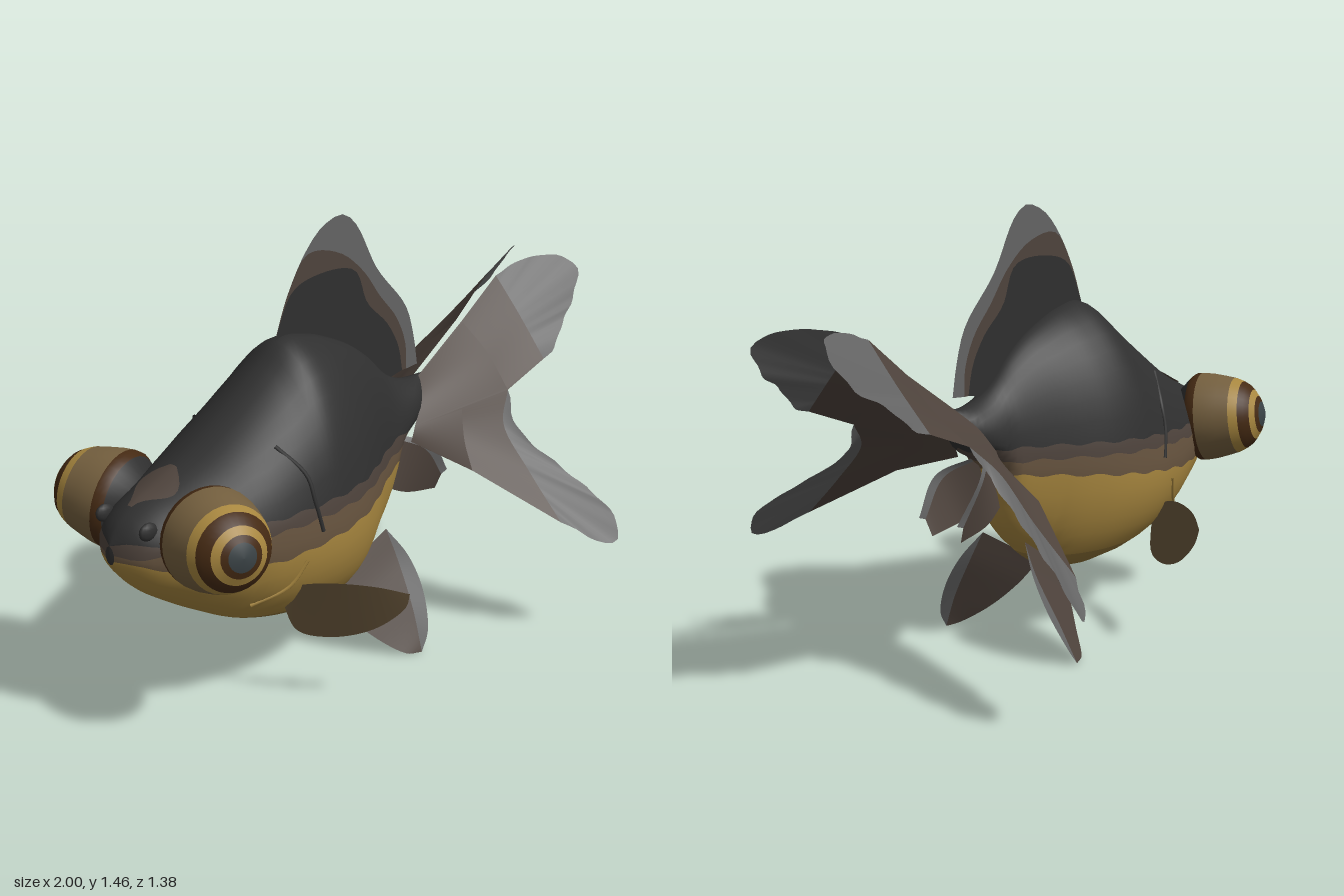
import * as THREE from 'three';

const mat = (name, color, both) => {
  const m = new THREE.MeshStandardMaterial({ color });
  m.name = name;
  if (both) m.side = THREE.DoubleSide;
  return m;
};
const V = (a) => new THREE.Vector3(...a);

// body stations: x, top, bottom, height of widest line, half width
const stations = [
  [-1.0, 0.65, 0.59, 0.62, 0.02], [-0.975, 0.7, 0.555, 0.62, 0.08], [-0.92, 0.745, 0.49, 0.62, 0.135],
  [-0.83, 0.785, 0.42, 0.61, 0.185], [-0.71, 0.845, 0.345, 0.6, 0.235], [-0.6, 0.915, 0.285, 0.59, 0.27],
  [-0.5, 0.985, 0.25, 0.58, 0.287], [-0.4, 1.06, 0.23, 0.57, 0.294], [-0.32, 1.12, 0.222, 0.57, 0.292],
  [-0.2, 1.11, 0.22, 0.58, 0.267], [-0.1, 1.075, 0.245, 0.59, 0.222], [0.0, 1.025, 0.315, 0.62, 0.165],
  [0.08, 0.965, 0.385, 0.65, 0.125], [0.13, 0.915, 0.47, 0.68, 0.107], [0.16, 0.89, 0.6, 0.71, 0.1],
  [0.22, 0.86, 0.665, 0.745, 0.088], [0.28, 0.848, 0.7, 0.77, 0.068], [0.345, 0.85, 0.77, 0.81, 0.015],
];
const lookup = [1, 2, 3, 4].map((k) =>
  new THREE.CubicInterpolant(stations.map((s) => s[0]), stations.map((s) => s[k]), 1));
const section = (x) => lookup.map((f) => f.evaluate(x)[0]);

// point on the body skin; angle runs from -90 (belly) to 90 degrees (back)
function skin(x, angle, side = 1, lift = 0) {
  const [top, bottom, mid, width] = section(x);
  const s = Math.sin(angle), c = Math.max(0, Math.cos(angle));
  const h = s > 0 ? top - mid : mid - bottom;
  return [x, mid + (h + lift) * s, side * (width + lift) * (s > 0 ? Math.pow(c, 1.2) : c)];
}
function angleAt(x, y) {
  const [top, bottom, mid] = section(x);
  const h = y > mid ? top - mid : mid - bottom;
  return Math.asin(THREE.MathUtils.clamp((y - mid) / h, -1, 1));
}

// grid of points (rows of equal length) to geometry
function gridGeometry(rows) {
  const n = rows[0].length, index = [];
  for (let i = 0; i < rows.length - 1; i++)
    for (let j = 0; j < n - 1; j++) {
      const a = i * n + j, b = a + n;
      index.push(a, b, b + 1, a, b + 1, a + 1);
    }
  const g = new THREE.BufferGeometry();
  g.setAttribute('position', new THREE.Float32BufferAttribute(rows.flat(2), 3));
  g.setIndex(index);
  g.computeVertexNormals();
  return g;
}

// closed body with colour bands at given heights
function bodyGeometry() {
  const rings = 64, steps = [4, 6, 2, 2, 9], positions = [], index = [];
  const g = new THREE.BufferGeometry();
  const half = steps.reduce((a, b) => a + b), n = half * 2;
  for (let i = 0; i <= rings; i++) {
    const x = -1 + 1.345 * i / rings;
    const wob = 0.005 * Math.sin(i * 1.1);
    const goldTop = Math.max(0.545, 0.6 + 0.1 * x, 0.545 - 0.2 * (x + 0.7));
    const limits = [-Math.PI / 2, angleAt(x, 0.3), angleAt(x, goldTop + wob),
      angleAt(x, 0.655 + 0.03 * x - wob), angleAt(x, 0.7 + 0.04 * x + wob), Math.PI / 2];
    const angles = [];
    steps.forEach((k, b) => {
      for (let j = 0; j < k; j++) angles.push(THREE.MathUtils.lerp(limits[b], limits[b + 1], j / k));
    });
    angles.push(Math.PI / 2);
    for (let j = 0; j < n; j++)
      positions.push(...(j <= half ? skin(x, angles[j]) : skin(x, angles[n - j], -1)));
  }
  let start = 0;
  steps.forEach((k, b) => {
    const from = index.length;
    for (let j = start; j < start + k; j++)
      for (const col of [j, n - 1 - j])
        for (let i = 0; i < rings; i++) {
          const a = i * n + col, d = i * n + (col + 1) % n;
          index.push(a, a + n, d + n, a, d + n, d);
        }
    g.addGroup(from, index.length - from, b);
    start += k;
  });
  // caps at nose and tail stalk
  const from = index.length, last = rings * n;
  for (let j = 1; j < n - 1; j++) index.push(0, j, j + 1, last, last + j + 1, last + j);
  g.addGroup(from, index.length - from, 4);
  g.setAttribute('position', new THREE.Float32BufferAttribute(positions, 3));
  g.setIndex(index);
  g.computeVertexNormals();
  return g;
}

// fin: strips between successive rails, one material per strip
function fin(name, rails, mats, side = 1, ripple = 0) {
  const group = new THREE.Group();
  group.name = name;
  const count = 32;
  const lines = rails.map((r, k) => {
    const curve = new THREE.CatmullRomCurve3(r.map(V));
    return curve.getSpacedPoints(count).map((p, i) => {
      const w = k === rails.length - 1 && i > 0 && i < count ? ripple * Math.sin(i * 1.3) : 0;
      return [p.x + w, p.y, p.z * side];
    });
  });
  mats.forEach((m, k) => {
    const mesh = new THREE.Mesh(gridGeometry([lines[k], lines[k + 1]]), m);
    mesh.name = name + 'Strip';
    group.add(mesh);
  });
  return group;
}

export function createModel() {
  const model = new THREE.Group();
  model.name = 'goldfish';
  const dark = mat('charcoal', 0x2f2f2f, true);
  const grey = mat('fin grey', 0x636363, true);
  const brown = mat('fin brown', 0x4e433c, true);
  const gold = mat('flank gold', 0xa8873f);
  const deepGold = mat('belly gold', 0x917539);
  const olive = mat('flank olive', 0x67543f);
  const tan = mat('eye tan', 0x75603f);
  const ring = mat('eye brown', 0x452a13);
  const pupil = mat('pupil grey', 0x3a4245);
  const paddle = mat('pectoral olive', 0x66543a, true);
  const add = (name, geometry, m, parent = model) => {
    const mesh = new THREE.Mesh(geometry, m);
    mesh.name = name;
    parent.add(mesh);
    return mesh;
  };

  add('body', bodyGeometry(), [deepGold, gold, olive, brown, dark]);

  // brown patch on the forehead
  const patch = [];
  for (let i = 0; i <= 10; i++) {
    const x = -0.92 + 0.17 * i / 10, row = [];
    const spread = 0.1 + 0.38 * Math.sin(Math.PI * Math.pow(i / 10, 1.4));
    for (let j = 0; j <= 8; j++) {
      const t = (j / 4 - 1) * spread;
      row.push(skin(x, Math.PI / 2 - Math.abs(t), t < 0 ? 1 : -1, 0.006));
    }
    patch.push(row);
  }
  add('foreheadPatch', gridGeometry(patch), brown);

  // dorsal fin
  model.add(fin('dorsalFin', [
    [[-0.33, 1.1, 0], [-0.2, 1.09, 0], [-0.05, 1.03, 0], [0.08, 0.94, 0], [0.16, 0.87, 0], [0.25, 0.88, 0]],
    [[-0.33, 1.12, 0], [-0.26, 1.25, 0], [-0.17, 1.285, 0], [0.02, 1.27, 0], [0.08, 1.15, 0], [0.175, 1.06, 0], [0.23, 0.97, 0], [0.25, 0.88, 0]],
    [[-0.33, 1.12, 0], [-0.27, 1.26, 0], [-0.19, 1.36, 0], [-0.05, 1.34, 0], [0.06, 1.26, 0], [0.14, 1.16, 0], [0.22, 1.07, 0], [0.265, 0.97, 0], [0.27, 0.88, 0]],
    [[-0.33, 1.12, 0], [-0.285, 1.23, 0], [-0.205, 1.36, 0], [-0.125, 1.435, 0], [-0.035, 1.46, 0], [0.025, 1.42, 0],
      [0.125, 1.255, 0], [0.265, 1.1, 0], [0.305, 0.99, 0], [0.325, 0.885, 0]],
  ], [dark, brown, grey]));

  // eye profile bands: [radius, distance] from socket to pupil
  const eyeBands = [
    [dark, [[0, -0.12], [0.1, -0.06], [0.145, -0.01]]],
    [ring, [[0.145, -0.01], [0.155, 0.005], [0.156, 0.025]]],
    [tan, [[0.156, 0.025], [0.152, 0.06], [0.143, 0.1], [0.132, 0.142]]],
    [gold, [[0.132, 0.142], [0.125, 0.158], [0.118, 0.172]]],
    [ring, [[0.118, 0.172], [0.106, 0.19], [0.087, 0.206]]],
    [gold, [[0.087, 0.206], [0.064, 0.221]]],
    [ring, [[0.064, 0.221], [0.044, 0.23]]],
    [pupil, [[0.044, 0.23], [0.022, 0.238], [0, 0.24]]],
  ];

  for (const side of [1, -1]) {
    const label = side > 0 ? 'left' : 'right';

    // bulging eye
    const eye = new THREE.Group();
    eye.name = label + 'Eye';
    eye.position.set(-0.785, 0.668, side * 0.19);
    eye.quaternion.setFromUnitVectors(V([0, 1, 0]), V([-0.07, 0.03, side * 0.23]).normalize());
    eyeBands.forEach(([m, pts]) =>
      add('eyeBand', new THREE.LatheGeometry(pts.map((p) => new THREE.Vector2(...p)), 32), m, eye));
    model.add(eye);

    // nostril flap
    const nostril = add(label + 'Nostril', new THREE.SphereGeometry(0.025, 12, 8), dark);
    nostril.position.set(-0.935, 0.705, side * 0.1);
    nostril.scale.set(1.3, 1.1, 0.6);

    // gill cover: dark upper edge, golden lower edge
    const edge = (name, pts, m) => add(label + name, new THREE.TubeGeometry(new THREE.CatmullRomCurve3(
      pts.map(([x, y]) => V(skin(x, angleAt(x, y), side)))), 16, 0.007, 6), m);
    edge('GillEdge', [[-0.51, 0.87], [-0.45, 0.78], [-0.44, 0.7], [-0.42, 0.6]], dark);
    edge('LowerGillEdge', [[-0.48, 0.52], [-0.53, 0.44], [-0.63, 0.39]], gold);

    // tail: upper and lower lobe
    model.add(fin(label + 'UpperTailLobe', [
      [[0.32, 0.845, 0.01], [0.28, 0.79, 0.065], [0.22, 0.71, 0.088]],
      [[0.54, 0.99, 0.012], [0.55, 0.9, 0.12], [0.52, 0.8, 0.24]],
      [[0.71, 1.12, 0.02], [0.71, 1.0, 0.13], [0.7, 0.87, 0.25]],
      [[0.71, 1.12, 0.02], [0.8, 1.15, 0.03], [0.89, 1.165, 0.06], [0.97, 1.155, 0.11], [0.998, 1.12, 0.155], [0.93, 1.02, 0.19],
        [0.84, 0.965, 0.22], [0.76, 0.89, 0.245], [0.7, 0.87, 0.25]],
    ], [brown, brown, grey], side, 0.005));
    model.add(fin(label + 'LowerTailLobe', [
      [[0.22, 0.71, 0.088], [0.21, 0.685, 0.09], [0.2, 0.66, 0.09]],
      [[0.37, 0.755, 0.164], [0.31, 0.67, 0.23], [0.27, 0.595, 0.3]],
      [[0.52, 0.8, 0.24], [0.44, 0.71, 0.29], [0.43, 0.58, 0.41], [0.42, 0.44, 0.56]],
      [[0.52, 0.8, 0.24], [0.49, 0.69, 0.31], [0.54, 0.56, 0.5], [0.58, 0.46, 0.64], [0.57, 0.38, 0.69], [0.53, 0.365, 0.68], [0.42, 0.44, 0.56]],
    ], [brown, brown, grey], side, 0.005));

    // pelvic fin
    model.add(fin(label + 'PelvicFin', [
      [[-0.17, 0.23, 0.05], [-0.13, 0.14, 0.115], [-0.07, 0.06, 0.19], [0.0, 0.005, 0.265], [0.04, 0, 0.28]],
      [[0.08, 0.38, 0.09], [0.085, 0.28, 0.14], [0.07, 0.13, 0.225], [0.05, 0, 0.285]],
      [[0.08, 0.38, 0.09], [0.12, 0.29, 0.155], [0.125, 0.18, 0.22], [0.09, 0.06, 0.275], [0.05, 0, 0.285]],
    ], [brown, grey], side));

    // anal fin
    model.add(fin(label + 'AnalFin', [
      [[0.13, 0.5, 0.03], [0.22, 0.46, 0.05], [0.36, 0.435, 0.06]],
      [[0.18, 0.66, 0.02], [0.28, 0.61, 0.08], [0.37, 0.49, 0.08]],
      [[0.2, 0.67, 0.02], [0.31, 0.62, 0.09], [0.4, 0.5, 0.08]],
    ], [brown, grey], side));

    // pectoral fin
    model.add(fin(label + 'PectoralFin', [
      [[-0.5, 0.41, 0.2], [-0.45, 0.445, 0.32], [-0.36, 0.445, 0.45], [-0.285, 0.42, 0.525]],
      [[-0.5, 0.36, 0.19], [-0.46, 0.25, 0.215], [-0.4, 0.235, 0.3], [-0.33, 0.28, 0.42], [-0.285, 0.37, 0.51], [-0.285, 0.42, 0.525]],
    ], [paddle], side));
  }
  return model;
}
